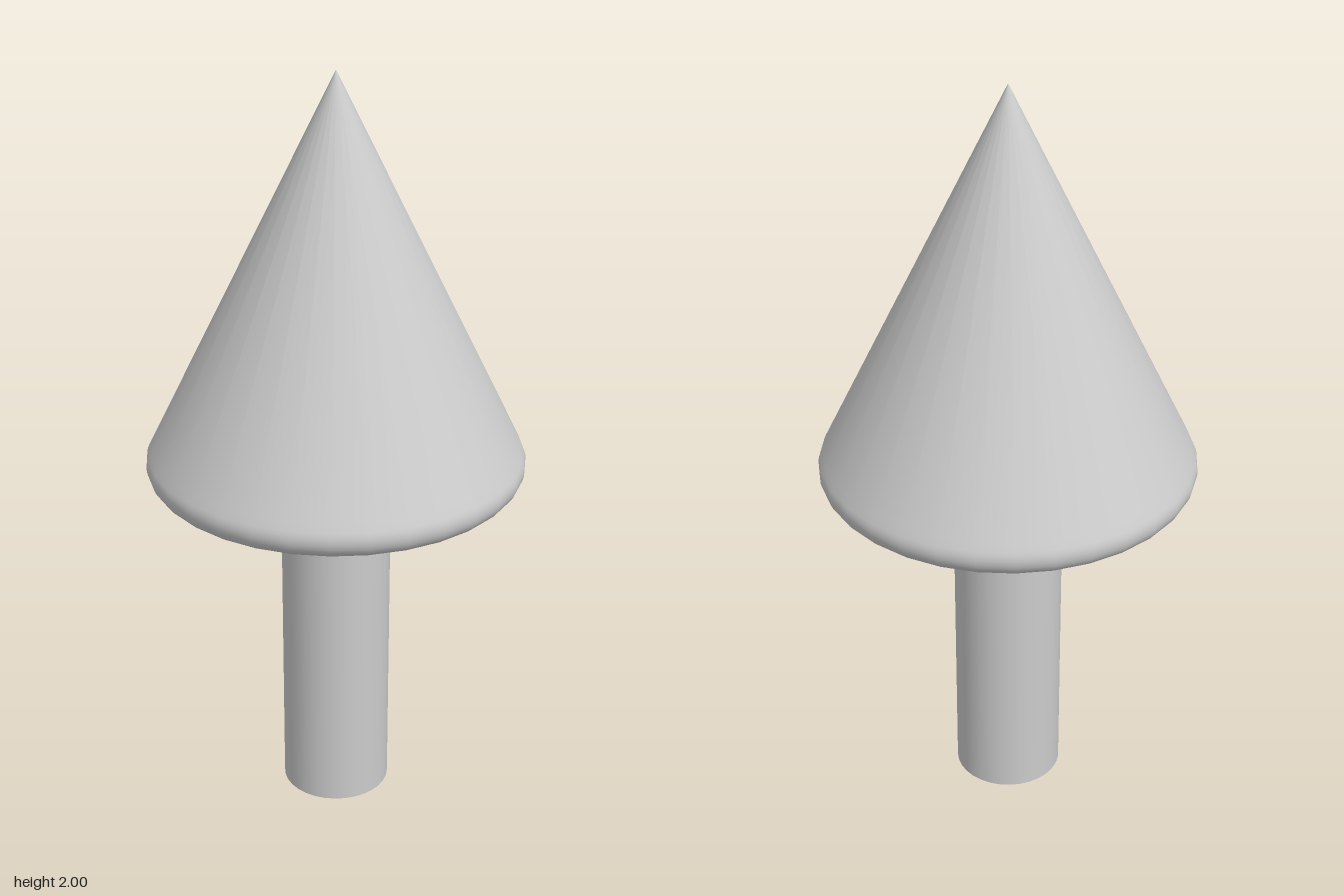
import * as THREE from 'three';

const SIDES = 32;

export function createModel() {
  const group = new THREE.Group();
  group.name = 'tree';
  const material = new THREE.MeshStandardMaterial({ color: 0xcccccc });

  // Trunk: plain cylinder reaching the underside of the crown
  const trunkHeight = 0.94;
  const trunk = new THREE.Mesh(new THREE.CylinderGeometry(0.145, 0.145, trunkHeight, SIDES), material);
  trunk.name = 'trunk';
  trunk.position.y = trunkHeight / 2;
  group.add(trunk);

  // Crown: cone with a flat underside and a rounded rim tangent to the slope
  const rim = { x: 0.44, y: 0.985, r: 0.055 };
  const slopeAngle = THREE.MathUtils.degToRad(26.3);
  const bottom = rim.y - rim.r;
  const profile = [new THREE.Vector2(0, bottom), new THREE.Vector2(rim.x - 0.01, bottom)];
  const steps = 10;
  for (let i = 0; i <= steps; i++) {
    const a = THREE.MathUtils.lerp(-Math.PI / 2, slopeAngle, i / steps);
    profile.push(new THREE.Vector2(rim.x + rim.r * Math.cos(a), rim.y + rim.r * Math.sin(a)));
  }
  // An extra point just above the rim keeps the slope's shading straight
  profile.push(profile[profile.length - 1].clone().lerp(new THREE.Vector2(0, 2), 0.02));
  profile.push(new THREE.Vector2(0, 2));

  const crown = new THREE.Mesh(new THREE.LatheGeometry(profile, SIDES), material);
  crown.name = 'crown';
  group.add(crown);

  return group;
}
